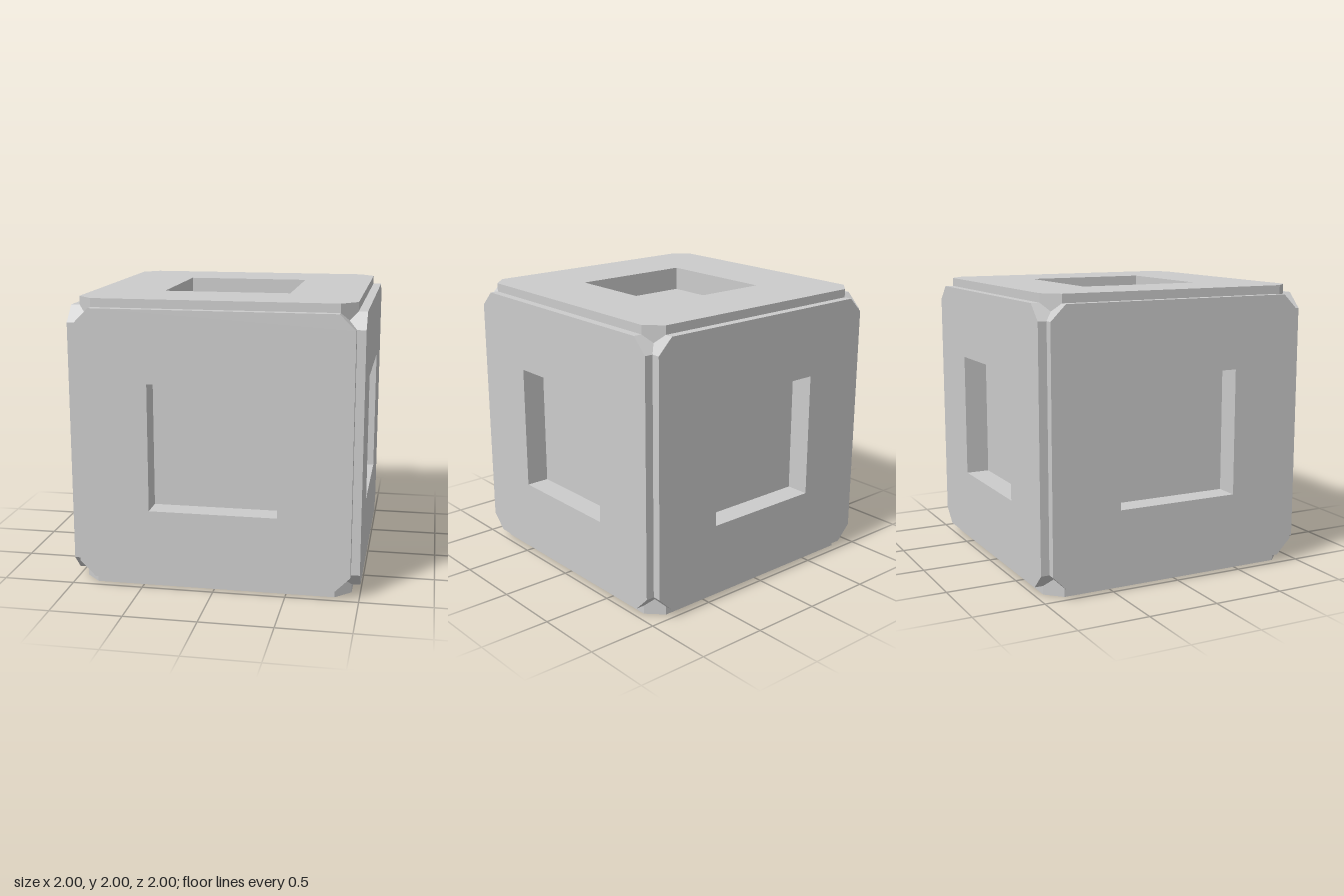
import * as THREE from 'three';

const HALF = 1;       // half the overall size
const EDGE = 0.94;    // half width of each face plate
const CUT = 0.833;    // where the plate's corner chamfer starts
const RECESS = 0.442; // half width of the square recess
const DEPTH = 0.167;  // plate thickness, and so recess depth

const material = new THREE.MeshStandardMaterial({ color: 0xcccccc, flatShading: true });

// Square plate with chamfered corners and a square opening, outer face at z = HALF
function plateGeometry() {
  const shape = new THREE.Shape();
  for (let i = 0; i < 4; i++) {
    const c = Math.round(Math.cos(i * Math.PI / 2));
    const s = Math.round(Math.sin(i * Math.PI / 2));
    for (const v of [-CUT, CUT]) {
      const x = c * EDGE - s * v;
      const y = s * EDGE + c * v;
      if (i === 0 && v < 0) shape.moveTo(x, y);
      else shape.lineTo(x, y);
    }
  }
  shape.closePath();
  const hole = new THREE.Path();
  hole.moveTo(-RECESS, -RECESS);
  hole.lineTo(-RECESS, RECESS);
  hole.lineTo(RECESS, RECESS);
  hole.lineTo(RECESS, -RECESS);
  hole.closePath();
  shape.holes.push(hole);
  return new THREE.ExtrudeGeometry(shape, { depth: DEPTH, bevelEnabled: false })
    .translate(0, 0, HALF - DEPTH);
}

export function createModel() {
  const model = new THREE.Group();
  model.name = 'recessedCube';
  model.position.y = HALF;

  // Inner block, whose faces form the recess floors
  const size = 2 * (HALF - DEPTH);
  const core = new THREE.Mesh(new THREE.BoxGeometry(size, size, size), material);
  core.name = 'core';
  model.add(core);

  // Six plates; their overlap leaves the edge grooves and faceted corners
  const plate = plateGeometry();
  const q = Math.PI / 2;
  const sides = {
    front: [0, 0], back: [0, 2 * q], left: [0, q],
    right: [0, -q], top: [-q, 0], bottom: [q, 0],
  };
  for (const [side, [rx, ry]] of Object.entries(sides)) {
    const mesh = new THREE.Mesh(plate, material);
    mesh.name = side + 'Plate';
    mesh.rotation.set(rx, ry, 0);
    model.add(mesh);
  }

  const root = new THREE.Group();
  root.name = 'cube';
  root.add(model);
  return root;
}
